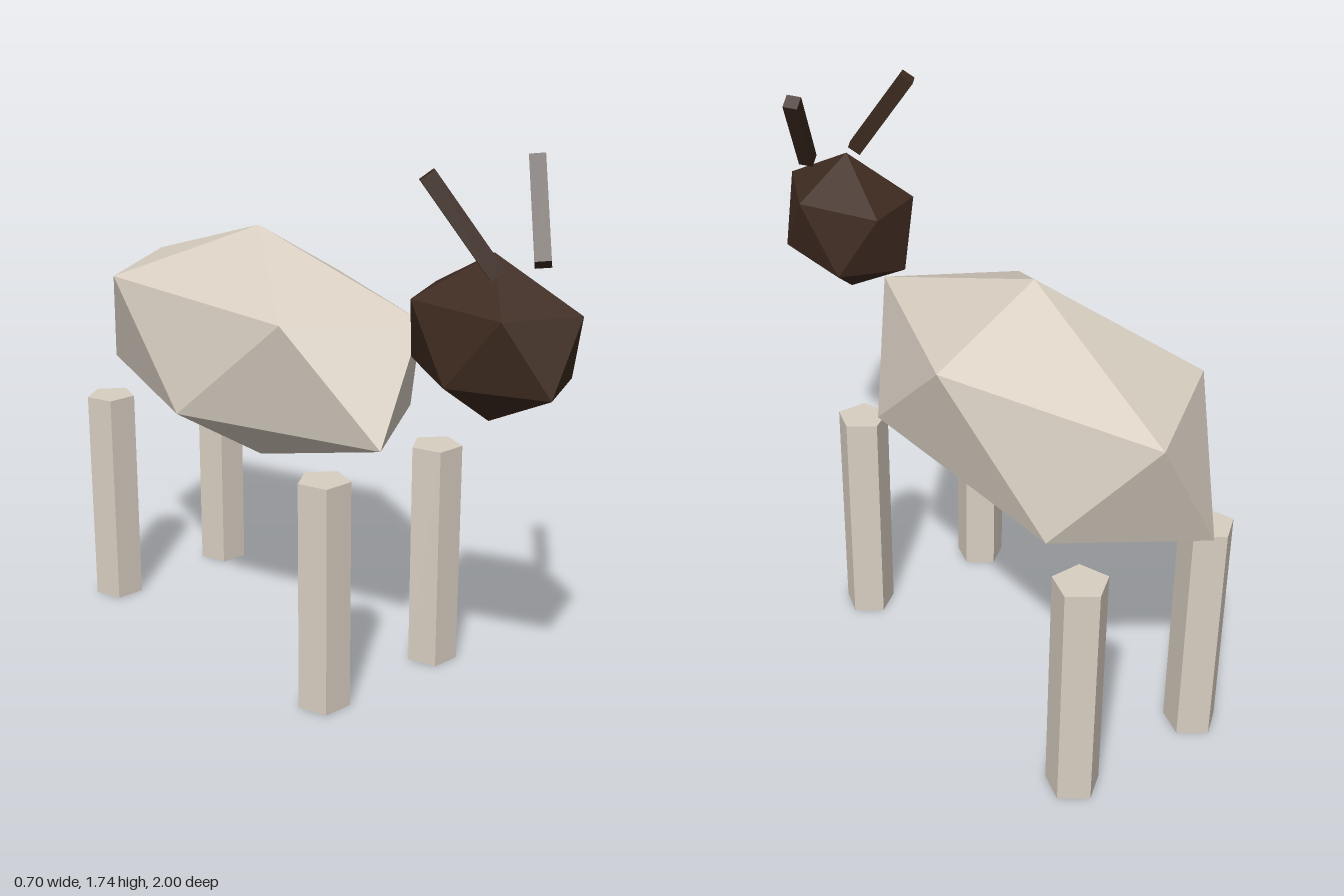
import * as THREE from 'three';

// Faceted twelve-point solid: two poles and two staggered rings of five.
// tweak(p, ring, k) may shift a ring point (ring 0 = upper, 1 = lower).
function gemGeometry(rx, rz, [topY, upperY, lowerY, bottomY], tweak) {
  const ring = (y, offset, id) => Array.from({ length: 5 }, (_, k) => {
    const a = (k + offset) * Math.PI * 2 / 5;
    const p = new THREE.Vector3(rx * Math.cos(a), y, rz * Math.sin(a));
    tweak(p, id, k);
    return p;
  });
  const u = ring(upperY, 0, 0), l = ring(lowerY, 0.5, 1);
  const top = new THREE.Vector3(0, topY, 0), bottom = new THREE.Vector3(0, bottomY, 0);
  const points = [];
  for (let k = 0; k < 5; k++) {
    const n = (k + 1) % 5;
    points.push(top, u[n], u[k], u[n], l[k], u[k], l[n], l[k], u[n], bottom, l[k], l[n]);
  }
  const geometry = new THREE.BufferGeometry().setFromPoints(points);
  geometry.computeVertexNormals();
  return geometry;
}

// Straight prism with flat facets
function prism(radius, height, sides, start = 0) {
  const geometry = new THREE.CylinderGeometry(radius, radius, height, sides, 1, false, start).toNonIndexed();
  geometry.computeVertexNormals();
  return geometry;
}

export function createModel() {
  const model = new THREE.Group();
  model.name = 'animal';

  const wool = new THREE.MeshStandardMaterial({ color: 0xd9cfc2 });
  wool.name = 'pale wool';
  const hide = new THREE.MeshStandardMaterial({ color: 0x3e2b20 });
  hide.name = 'dark brown';

  const add = (name, geometry, material, x, y, z) => {
    const mesh = new THREE.Mesh(geometry, material);
    mesh.name = name;
    mesh.position.set(x, y, z);
    model.add(mesh);
    return mesh;
  };

  // Body, slightly drawn in at the upper front
  add('body', gemGeometry(0.35, 0.733, [1.41, 1.207, 0.838, 0.617], (p, ring, k) => {
    if (ring === 0 && k === 1) p.set(0.1, 1.198, 0.653);
    if (ring === 0 && k === 2) p.set(-0.272, 1.203, 0.423);
  }), wool, 0, 0, -0.3);

  // Head, with the lower back a little shorter
  add('head', gemGeometry(0.19, 0.289, [1.487, 1.348, 1.132, 0.996], (p, ring, k) => {
    if (ring === 1 && k === 3) p.set(-0.053, 1.14, -0.262);
  }), hide, 0, 0, 0.726);

  const legGeometry = prism(0.085, 0.753, 5, Math.PI);
  const hornGeometry = prism(0.034, 0.33, 4);
  for (const [side, s] of [['left', 1], ['right', -1]]) {
    // Legs
    add(side + 'FrontLeg', legGeometry, wool, s * 0.242, 0.3765, 0.291);
    add(side + 'BackLeg', legGeometry, wool, s * 0.242, 0.3765, -0.84);

    // Horns lean outward and back
    const horn = add(side + 'Horn', hornGeometry, hide, s * 0.158, 1.587, 0.75);
    horn.rotation.set(-0.5, 0, -s * 0.4);
  }

  return model;
}
